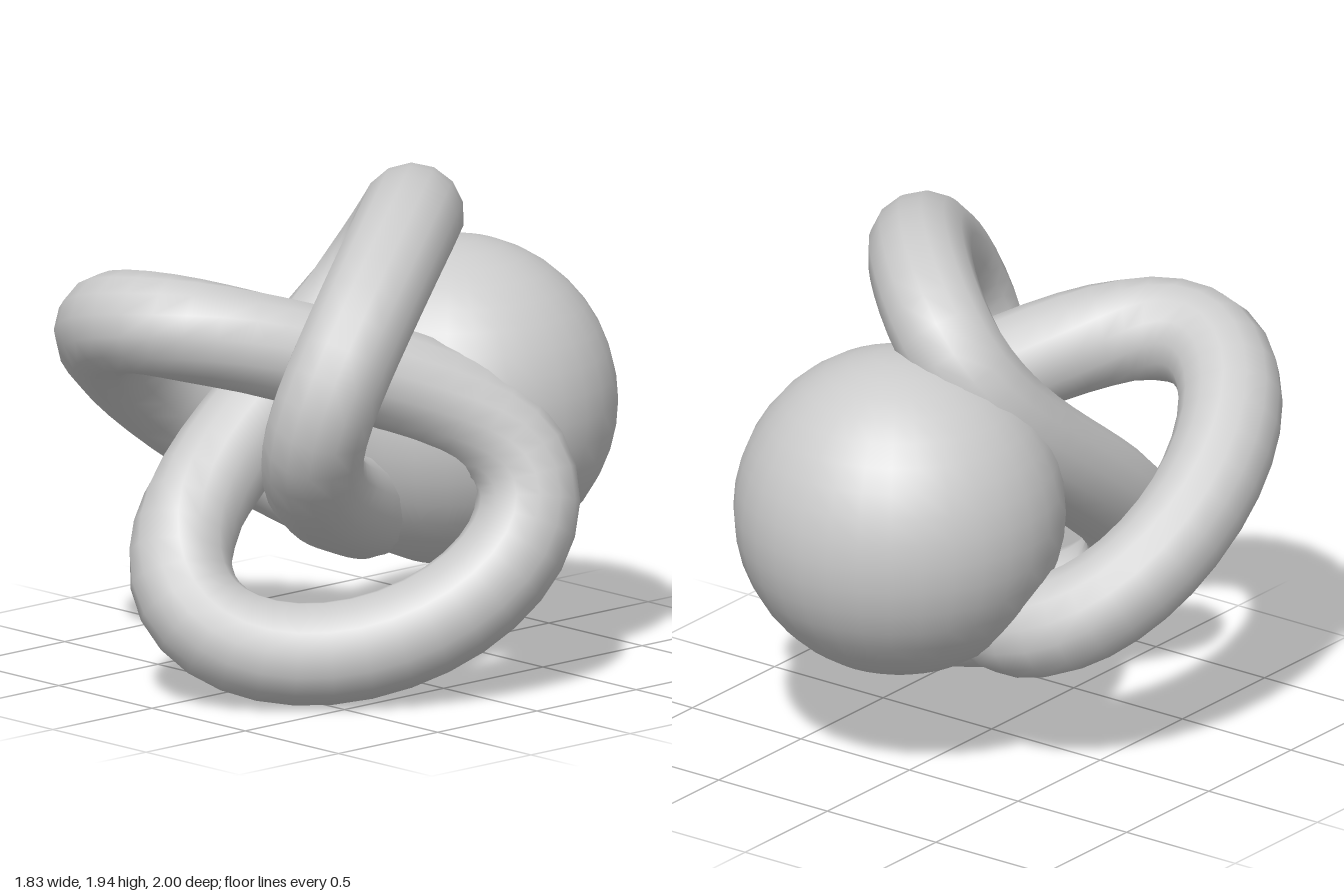
import * as THREE from 'three';

// Closed trefoil centre line: two turns about z, three lobes, one lobe towards -x
class TrefoilCurve extends THREE.Curve {
  getPoint(t, target = new THREE.Vector3()) {
    const u = t * Math.PI * 2;
    return target.set(
      -(0.572 * Math.cos(2 * u) + 0.225 * Math.cos(u) + 0.045 * Math.cos(5 * u)),
      0.572 * Math.sin(2 * u) - 0.225 * Math.sin(u) + 0.045 * Math.sin(5 * u),
      0.52 * Math.sin(3 * u)
    );
  }
}

// Sweeps a round section along the closed curve, with frames facing the centre
function sweptRing(curve, radius, steps, sides) {
  const positions = [], normals = [], index = [];
  const p = new THREE.Vector3(), tangent = new THREE.Vector3();
  const n = new THREE.Vector3(), b = new THREE.Vector3(), d = new THREE.Vector3();
  for (let i = 0; i < steps; i++) {
    curve.getPoint(i / steps, p);
    tangent.copy(curve.getPoint((i + 0.01) / steps)).sub(curve.getPoint((i - 0.01) / steps)).normalize();
    b.crossVectors(tangent, p).normalize();
    n.crossVectors(b, tangent);
    for (let j = 0; j < sides; j++) {
      const a = (j / sides) * Math.PI * 2;
      d.copy(n).multiplyScalar(Math.cos(a)).addScaledVector(b, Math.sin(a));
      normals.push(d.x, d.y, d.z);
      d.multiplyScalar(radius).add(p);
      positions.push(d.x, d.y, d.z);
      const i2 = (i + 1) % steps, j2 = (j + 1) % sides;
      const v00 = i * sides + j, v10 = i2 * sides + j;
      const v01 = i * sides + j2, v11 = i2 * sides + j2;
      index.push(v00, v10, v01, v01, v10, v11);
    }
  }
  // Turn the faces outwards if the frame winds the other way
  const at = (k) => new THREE.Vector3().fromArray(positions, k * 3);
  const face = at(index[1]).sub(at(index[0])).cross(at(index[2]).sub(at(index[0])));
  if (face.dot(new THREE.Vector3().fromArray(normals, 0)) < 0) index.reverse();

  const geometry = new THREE.BufferGeometry();
  geometry.setAttribute('position', new THREE.Float32BufferAttribute(positions, 3));
  geometry.setAttribute('normal', new THREE.Float32BufferAttribute(normals, 3));
  geometry.setIndex(index);
  return geometry;
}

export function createModel() {
  const model = new THREE.Group();
  const material = new THREE.MeshStandardMaterial({ color: 0xcccccc });

  // Knotted tube
  const knot = new THREE.Mesh(sweptRing(new TrefoilCurve(), 0.192, 96, 14), material);
  knot.name = 'knot';
  knot.position.set(0.122, 0.975, 0.29);
  model.add(knot);

  // Ball set into the back of the knot
  const ball = new THREE.Mesh(new THREE.SphereGeometry(0.612, 32, 20), material);
  ball.name = 'ball';
  ball.position.set(0.13, 0.975, -0.388);
  model.add(ball);

  return model;
}
